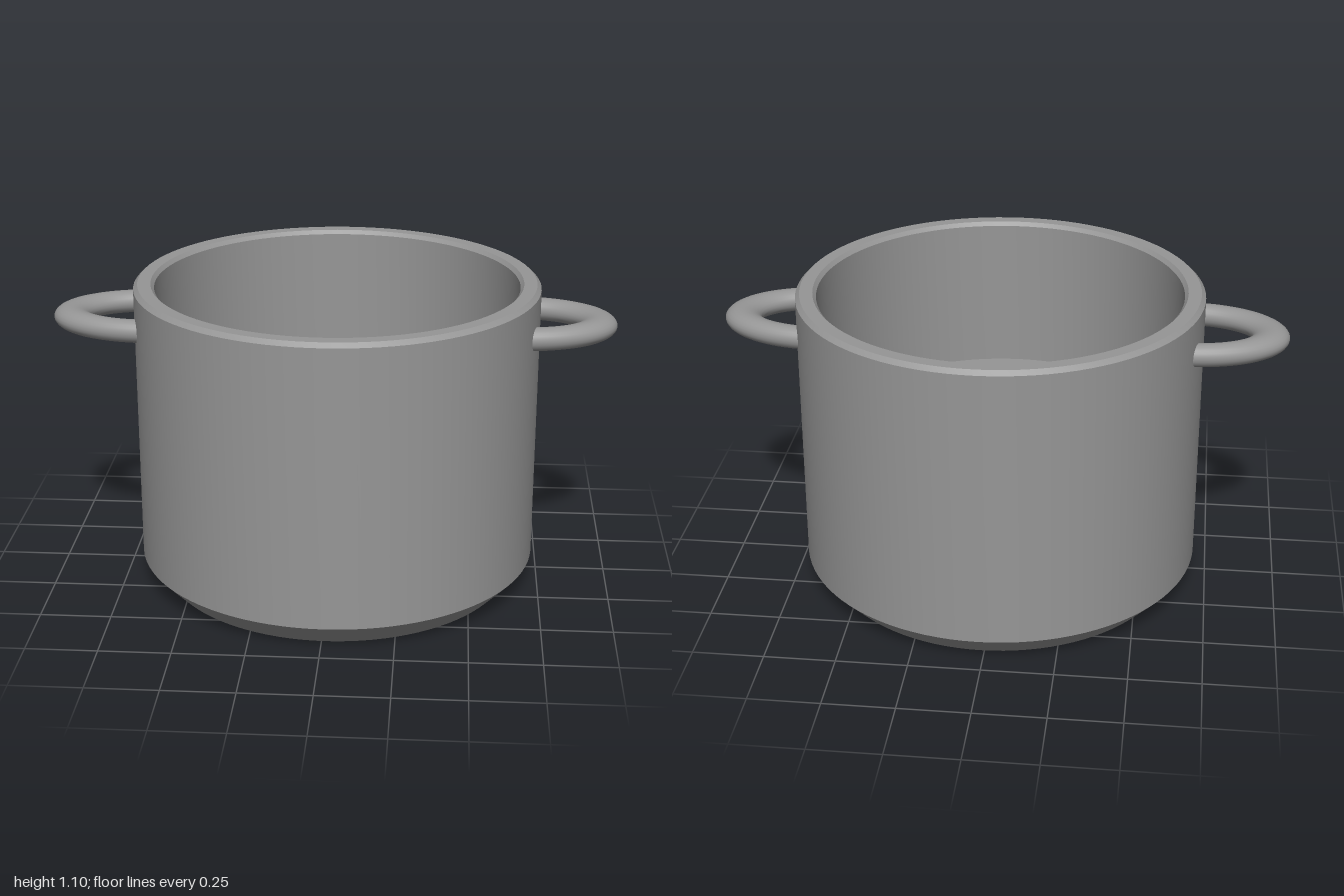
import * as THREE from 'three';
import { toCreasedNormals } from 'three/addons/utils/BufferGeometryUtils.js';

export function createModel() {
  const group = new THREE.Group();
  const metal = new THREE.MeshStandardMaterial({ color: 0x969696 });

  // Pot: bevelled base, straight wall, bevelled rim and the inner cavity in one turned profile
  const profile = [
    [0, 0], [0.63, 0], [0.716, 0.09], [0.716, 1.085], [0.701, 1.1],
    [0.655, 1.1], [0.643, 1.086], [0.643, 0.53], [0, 0.53],
  ].map(([r, y]) => new THREE.Vector2(r, y));
  const pot = new THREE.Mesh(toCreasedNormals(new THREE.LatheGeometry(profile, 96), 0.5), metal);
  pot.name = 'pot';
  pot.position.x = 0.013;
  group.add(pot);

  // Handles: half rings stretched outward, ends buried in the wall
  const trim = 0.03;
  const ring = new THREE.TorusGeometry(0.181, 0.041, 24, 48, Math.PI - 2 * trim);
  ring.rotateZ(trim - Math.PI / 2);
  ring.rotateX(Math.PI / 2);
  ring.scale(1.6, 1, 1);
  for (const side of [1, -1]) {
    const handle = new THREE.Mesh(ring, metal);
    handle.name = side > 0 ? 'leftHandle' : 'rightHandle';
    handle.position.set(side * 0.645, 0.95, 0);
    handle.rotation.y = side > 0 ? 0 : Math.PI;
    group.add(handle);
  }

  return group;
}
